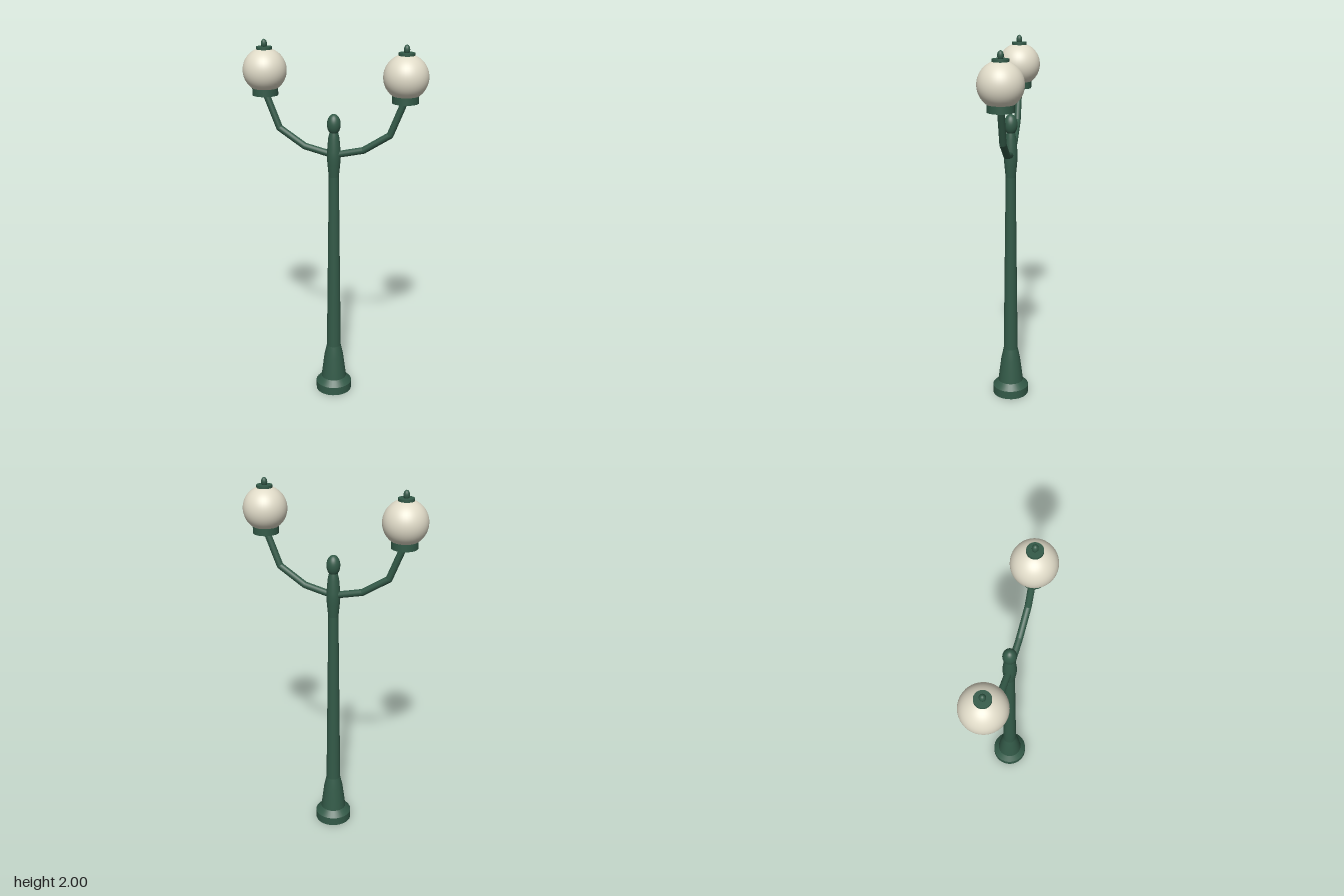
import * as THREE from 'three';

const green = new THREE.MeshStandardMaterial({ color: 0x335a48 });
green.name = 'dark green iron';
const cream = new THREE.MeshStandardMaterial({ color: 0xe0dbc8 });
cream.name = 'cream glass';

function add(parent, name, geometry, material, x = 0, y = 0) {
  const mesh = new THREE.Mesh(geometry, material);
  mesh.name = name;
  mesh.position.set(x, y, 0);
  parent.add(mesh);
  return mesh;
}

// Turned part from [radius, height] pairs listed bottom to top
function turned(points) {
  return new THREE.LatheGeometry(points.map(([r, y]) => new THREE.Vector2(r, y)), 32);
}

// Straight rod between two points in the xy plane
function rod(parent, a, b, radius) {
  const dir = b.clone().sub(a);
  const mesh = add(parent, 'armSegment',
    new THREE.CylinderGeometry(radius, radius, dir.length(), 16), green,
    (a.x + b.x) / 2, (a.y + b.y) / 2);
  mesh.rotation.z = Math.atan2(-dir.x, dir.y);
}

function createLamp(side) {
  const lamp = new THREE.Group();
  lamp.name = side > 0 ? 'leftLamp' : 'rightLamp';

  // Bent arm with rounded elbows
  const path = [[0, 1.41], [0.16, 1.447], [0.3, 1.537], [0.375, 1.725]]
    .map(([x, y]) => new THREE.Vector2(side * x, y));
  for (let i = 0; i < path.length - 1; i++) {
    rod(lamp, path[i], path[i + 1], 0.018);
    if (i > 0) add(lamp, 'armElbow', new THREE.SphereGeometry(0.018, 16, 12), green, path[i].x, path[i].y);
  }

  // Collar, globe, cap and little finial
  const x = side * 0.375;
  add(lamp, 'globeCollar', new THREE.CylinderGeometry(0.068, 0.068, 0.04, 32), green, x, 1.73);
  add(lamp, 'globe', new THREE.SphereGeometry(0.115, 40, 28), cream, x, 1.84);
  add(lamp, 'globeCap', new THREE.CylinderGeometry(0.041, 0.041, 0.018, 32), green, x, 1.952);
  add(lamp, 'globeFinial', new THREE.SphereGeometry(0.016, 16, 12), green, x, 1.976).scale.y = 1.5;
  return lamp;
}

export function createModel() {
  const model = new THREE.Group();
  model.name = 'streetLamp';

  // Base
  add(model, 'plinth', new THREE.CylinderGeometry(0.101, 0.101, 0.048, 32), green, 0, 0.024);
  add(model, 'plinthBevel', turned([[0.101, 0.048], [0.071, 0.08]]), green);
  add(model, 'baseSkirt', turned([[0.071, 0.08], [0.054, 0.215], [0.04, 0.28]]), green);

  // Tapered shaft and swollen head where the arms join
  add(model, 'shaft', turned([[0.04, 0.28], [0.027, 1.3]]), green);
  add(model, 'postHead', turned([[0.027, 1.29], [0.034, 1.36], [0.037, 1.4], [0.036, 1.43], [0.03, 1.5], [0.022, 1.535]]), green);
  add(model, 'postFinial', new THREE.SphereGeometry(0.036, 32, 20), green, 0, 1.575).scale.y = 1.53;

  for (const side of [1, -1]) model.add(createLamp(side));
  return model;
}
